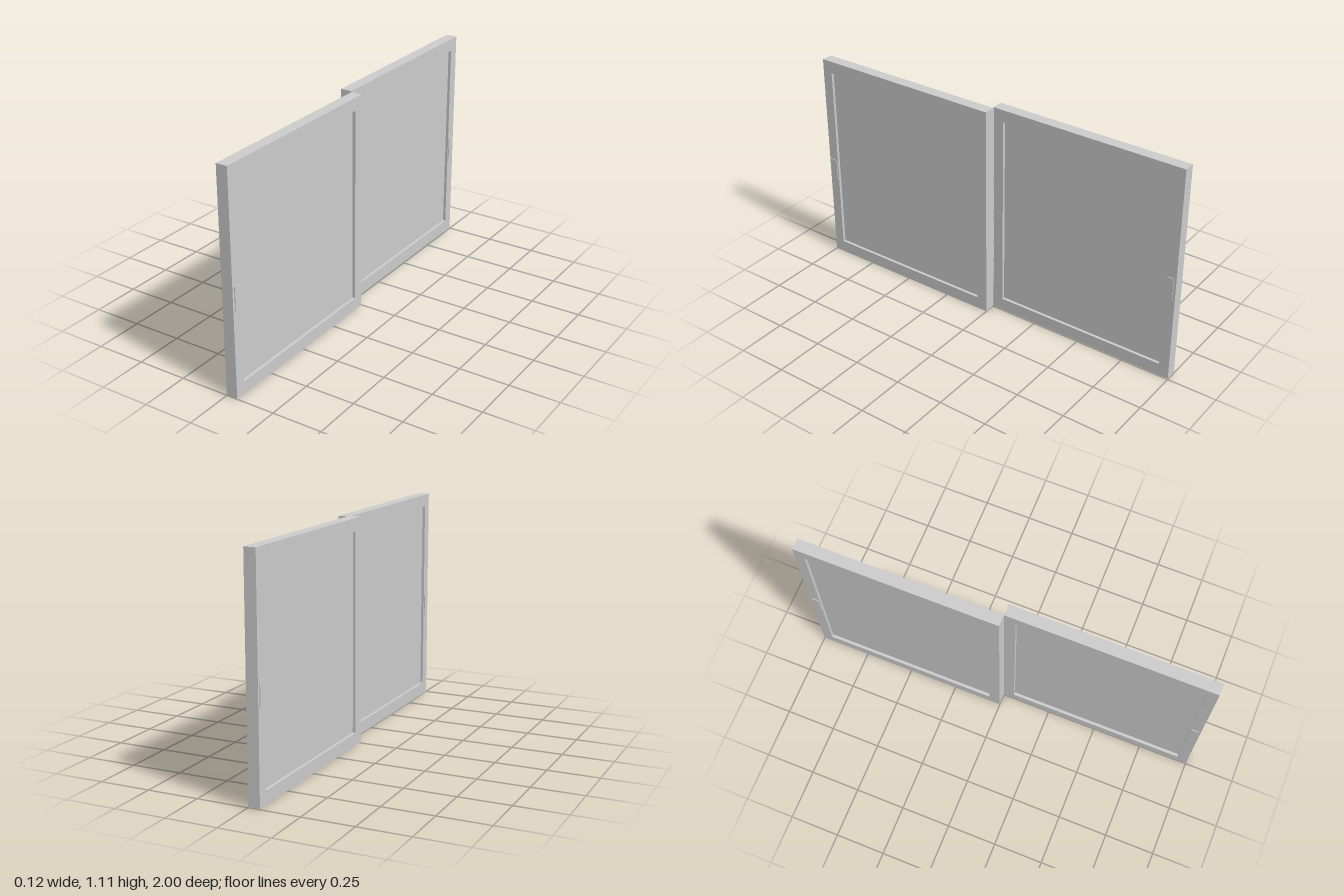
import * as THREE from 'three';

const THICK = 0.057, WIDTH = 1.0, HEIGHT = 1.109;

function rectangle(Type, x0, y0, x1, y1) {
  const r = new Type();
  r.moveTo(x0, y0);
  r.lineTo(x1, y0);
  r.lineTo(x1, y1);
  r.lineTo(x0, y1);
  r.closePath();
  return r;
}

// One sash, running along +z from its inner edge, centred on x = 0
function createSash(name, material) {
  const sash = new THREE.Group();
  sash.name = name;
  const add = (part, geometry, x = 0, y = 0, z = 0) => {
    const mesh = new THREE.Mesh(geometry, material);
    mesh.name = part;
    mesh.position.set(x, y, z);
    sash.add(mesh);
  };

  // Frame with a rectangular opening, turned so its width runs along z
  const outline = rectangle(THREE.Shape, -WIDTH, 0, 0, HEIGHT);
  outline.holes.push(rectangle(THREE.Path, -0.948, 0.063, -0.056, 1.046));
  const frame = new THREE.ExtrudeGeometry(outline, { depth: THICK, bevelEnabled: false });
  frame.translate(0, 0, -THICK / 2);
  frame.rotateY(Math.PI / 2);
  add('frame', frame);

  // Pane recessed on both sides
  add('pane', new THREE.BoxGeometry(0.028, 0.983, 0.892), 0, 0.5545, 0.502);

  // Thin pull plates on both faces near the outer edge
  for (const side of [-1, 1]) {
    add('handle', new THREE.BoxGeometry(0.004, 0.116, 0.034), side * (THICK / 2 + 0.002), 0.495, 0.971);
  }
  return sash;
}

export function createModel() {
  const grey = new THREE.MeshStandardMaterial({ color: 0xcccccc });
  grey.name = 'grey';

  const model = new THREE.Group();
  model.name = 'slidingWindow';

  const frontSash = createSash('frontSash', grey);
  frontSash.position.set(0.028, 0, 0);

  // The second sash is the same one turned half round, on the other track
  const backSash = createSash('backSash', grey);
  backSash.rotation.y = Math.PI;
  backSash.position.set(-0.03, 0.004, 0);

  model.add(frontSash, backSash);
  return model;
}
